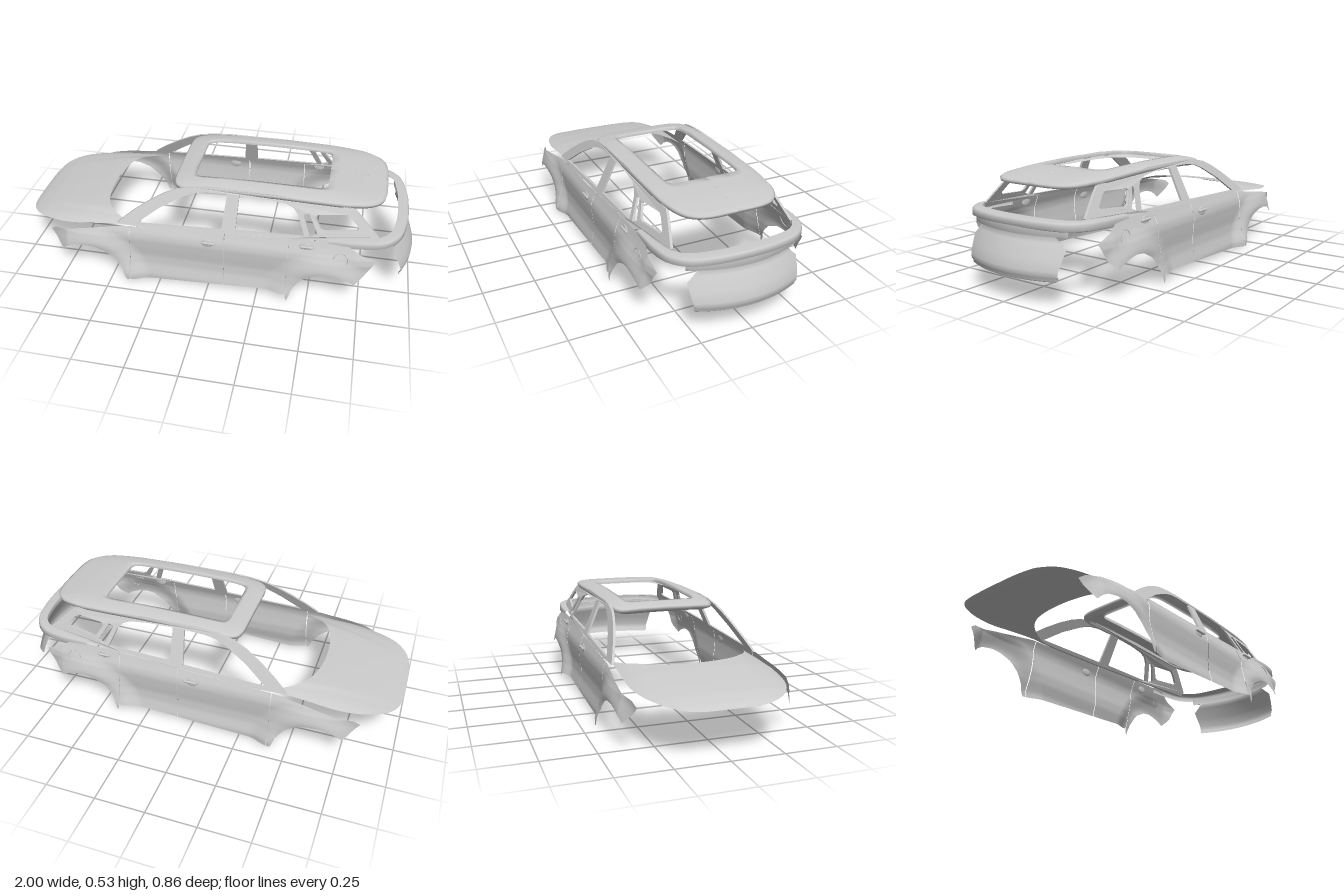
import * as THREE from 'three';

const mat = new THREE.MeshStandardMaterial({ color: 0xcccccc, side: THREE.DoubleSide });

// Linear interpolation through [x, value] pairs
function lerpTable(t, x) {
  if (x <= t[0][0]) return t[0][1];
  for (let i = 1; i < t.length; i++) {
    if (x <= t[i][0]) {
      const [a, b] = [t[i - 1], t[i]];
      return a[1] + (b[1] - a[1]) * (x - a[0]) / (b[0] - a[0]);
    }
  }
  return t[t.length - 1][1];
}

// Smooth surface sampled from fn(u, v) -> [x, y, z]
function patch(name, nu, nv, fn) {
  const pos = [], idx = [];
  for (let i = 0; i <= nu; i++)
    for (let j = 0; j <= nv; j++) pos.push(...fn(i / nu, j / nv));
  for (let i = 0; i < nu; i++)
    for (let j = 0; j < nv; j++) {
      const a = i * (nv + 1) + j, b = a + nv + 1;
      idx.push(a, a + 1, b, b, a + 1, b + 1);
    }
  const g = new THREE.BufferGeometry();
  g.setAttribute('position', new THREE.Float32BufferAttribute(pos, 3));
  g.setIndex(idx);
  g.computeVertexNormals();
  const m = new THREE.Mesh(g, mat);
  m.name = name;
  return m;
}

// Lower and upper edges of the body side, and its cross-section
const bottomEdge = [[-0.83, 0.22], [-0.76, 0.135], [-0.74, 0.158], [-0.71, 0.177], [-0.65, 0.19], [-0.59, 0.186],
  [-0.53, 0.165], [-0.48, 0.125], [-0.44, 0.07], [-0.42, 0.01], [0.393, 0.05], [0.4, 0], [0.425, 0.08], [0.45, 0.12],
  [0.48, 0.152], [0.55, 0.188], [0.6, 0.194], [0.64, 0.188], [0.69, 0.17], [0.72, 0.15], [0.76, 0.19], [0.81, 0.275]];
const topEdge = [[-0.83, 0.222], [-0.8, 0.245], [-0.65, 0.275], [-0.42, 0.31], [0, 0.325], [0.4, 0.345], [0.66, 0.352],
  [0.69, 0.335], [0.74, 0.305], [0.81, 0.277]];
const section = [[0, 0.397], [0.04, 0.399], [0.1, 0.384], [0.15, 0.381], [0.2, 0.386], [0.25, 0.389], [0.28, 0.384],
  [0.32, 0.367], [0.36, 0.352]];

function sideZ(x, y) {
  let z = lerpTable(section, y);
  for (const cx of [-0.6, 0.57]) {
    const d = Math.hypot(x - cx, y);
    z += 0.03 * (1 - THREE.MathUtils.smoothstep(d, 0.19, 0.3));
  }
  return z - 0.35 * Math.max(0, -0.73 - x) - 0.2 * Math.max(0, x - 0.72);
}

function sidePanel(name, s, x0, x1) {
  return patch(name, Math.ceil((x1 - x0) * 130), 24, (u, v) => {
    const x = x0 + (x1 - x0) * u, b = lerpTable(bottomEdge, x);
    const y = b + (lerpTable(topEdge, x) - b) * v;
    return [x, y, s * sideZ(x, y)];
  });
}

// Pillars and window frames, leaning inwards
const pts = a => a.map(p => new THREE.Vector2(...p));
function windowFrame(s) {
  const shape = new THREE.Shape(pts([[-0.47, 0.312], [-0.45, 0.332], [-0.39, 0.38], [-0.31, 0.435], [-0.24, 0.475],
    [-0.18, 0.5], [-0.1, 0.517], [0, 0.525], [0.3, 0.525], [0.55, 0.515], [0.68, 0.495], [0.71, 0.47], [0.81, 0.375],
    [0.8, 0.35], [0.4, 0.34], [0, 0.32], [-0.3, 0.31]]));
  const holes = [
    [[-0.37, 0.323], [0.06, 0.34], [0.075, 0.505], [-0.03, 0.502], [-0.09, 0.492], [-0.15, 0.468], [-0.26, 0.405]],
    [[0.13, 0.345], [0.135, 0.505], [0.27, 0.502], [0.36, 0.493], [0.4, 0.478], [0.425, 0.45], [0.465, 0.355]],
    [[0.45, 0.455], [0.475, 0.462], [0.525, 0.372], [0.49, 0.358]],
    [[0.505, 0.45], [0.52, 0.46], [0.65, 0.467], [0.67, 0.455], [0.715, 0.41], [0.705, 0.398], [0.56, 0.387], [0.54, 0.395]],
  ];
  for (const h of holes) shape.holes.push(new THREE.Path(pts(h)));
  const g = new THREE.ExtrudeGeometry(shape, { depth: 0.012, bevelEnabled: false });
  const p = g.attributes.position;
  for (let i = 0; i < p.count; i++) {
    const x = p.getX(i), y = p.getY(i);
    const z = 0.35 - (y - 0.34) * 0.44 - 0.1 * Math.max(0, x - 0.5) - p.getZ(i);
    p.setZ(i, s * z);
  }
  g.computeVertexNormals();
  const m = new THREE.Mesh(g, mat);
  m.name = 'windowFrame';
  return m;
}

// Bonnet with a rounded nose and a curved rear edge below the windscreen
const hoodLine = [[-1, 0.236], [-0.97, 0.252], [-0.9, 0.272], [-0.8, 0.29], [-0.65, 0.311], [-0.5, 0.323], [-0.35, 0.33]];
function hood() {
  return patch('hood', 64, 28, (u, v) => {
    const s = Math.sin((u - 0.5) * Math.PI), q = Math.abs(s);
    const front = -0.65 - 0.35 * Math.max(0, 1 - q ** 4) ** 0.47;
    const rear = -0.59 + 0.08 * q ** 2 + 0.13 * q ** 6;
    const x = front + (rear - front) * v;
    const z = s * (0.352 - 0.012 * v);
    const bulge = 0.006 * (1 - THREE.MathUtils.smoothstep(Math.abs(z), 0.17 + 0.08 * v, 0.22 + 0.08 * v)) * v;
    return [x, lerpTable(hoodLine, x) - 0.022 * q ** 8 - 0.005 * q * q + bulge, z];
  });
}

// Roof: rings from the sunroof lip to the outer edge, then under the rim
const roofLine = [[-0.21, 0.512], [-0.15, 0.524], [-0.05, 0.536], [0.1, 0.543], [0.35, 0.543], [0.55, 0.537], [0.7, 0.526], [0.84, 0.505]];
function loopPoint(t, cx, a, b, n) {
  const c = Math.cos(t), s = Math.sin(t);
  return [cx + a * Math.sign(c) * Math.abs(c) ** (2 / n), b * Math.sign(s) * Math.abs(s) ** (2 / n)];
}
function roof() {
  const rings = [[0, -0.018], [0, 0], [0.15, 0], [0.3, 0], [0.45, 0], [0.6, 0], [0.75, 0], [0.87, 0], [0.95, 0], [1, -0.004],
    [0.99, -0.018], [0.72, -0.036]];
  return patch('roof', 160, rings.length - 1, (u, v) => {
    const t = u * Math.PI * 2, [k, dy] = rings[Math.round(v * (rings.length - 1))];
    const i = loopPoint(t, 0.22, 0.33, 0.185, 12);
    const o = loopPoint(t, 0.315, 0.52, 0.272, Math.cos(t) > 0 ? 4.5 : 9);
    const x = i[0] + (o[0] - i[0]) * k, z = i[1] + (o[1] - i[1]) * k;
    return [x, lerpTable(roofLine, x) - 0.018 * (Math.abs(z) / 0.272) ** 6 - 0.003 * (z / 0.272) ** 2 + dy, z];
  });
}

// Belt band wrapping around the tail
function rearBand() {
  const half = [[0.58, 0.358], [0.74, 0.357], [0.84, 0.335], [0.91, 0.27], [0.945, 0.15]];
  const path = new THREE.CatmullRomCurve3([...half, [0.955, 0], ...half.map(([x, z]) => [x, -z]).reverse()]
    .map(([x, z]) => new THREE.Vector3(x, 0, z)));
  const prof = [[0.012, -0.042], [0, -0.036], [0, -0.014], [0.004, -0.005], [0.012, -0.001], [0.055, 0]];
  return patch('rearBand', 90, prof.length - 1, (u, v) => {
    const p = path.getPointAt(u), t = path.getTangentAt(u);
    const [d, h] = prof[Math.round(v * (prof.length - 1))];
    const w = d * (0.45 + 0.55 * Math.sin(u * Math.PI));
    const y = 0.375 - 0.014 * Math.abs(2 * u - 1) ** 3;
    return [p.x + t.z * w, y + h, p.z - t.x * w];
  });
}

// Tailgate rows: centre x, y, half width (narrow where the lamps sit)
function tailgate() {
  const rows = [[0.953, 0.342, 0.275], [0.955, 0.307, 0.272], [0.942, 0.304, 0.222], [0.955, 0.28, 0.245], [0.967, 0.255, 0.272],
    [0.985, 0.215, 0.267], [0.99, 0.2, 0.265], [1, 0.17, 0.26], [1, 0.147, 0.257], [0.992, 0.142, 0.256], [0.992, 0.128, 0.252], [0.985, 0.122, 0.242]];
  return patch('tailgate', 32, rows.length - 1, (u, v) => {
    const [x, y, w] = rows[Math.round(v * (rows.length - 1))], s = u * 2 - 1;
    return [x - 0.9 * (s * w) ** 2, y, s * w];
  });
}

function doorHandle(s, x, y) {
  const g = new THREE.Group();
  g.name = 'doorHandle';
  const cup = new THREE.Mesh(new THREE.SphereGeometry(1, 20, 12), mat);
  cup.scale.set(0.03, 0.024, 0.006);
  const bar = new THREE.Mesh(new THREE.CapsuleGeometry(0.007, 0.055, 4, 10), mat);
  bar.rotation.z = Math.PI / 2;
  bar.position.set(0.006, 0.006, s * 0.008);
  g.add(cup, bar);
  g.position.set(x, y, s * sideZ(x, y));
  return g;
}

export function createModel() {
  const car = new THREE.Group();
  car.name = 'carBody';
  car.add(hood(), roof(), rearBand(), tailgate());
  for (const s of [1, -1]) {
    car.add(sidePanel('frontFender', s, -0.83, -0.402), sidePanel('frontDoor', s, -0.398, 0.078),
      sidePanel('rearDoor', s, 0.082, 0.393), sidePanel('rearQuarter', s, 0.396, 0.81),
      windowFrame(s), doorHandle(s, 0, 0.276), doorHandle(s, 0.475, 0.315));
    // Fuel flap outline
    const flap = new THREE.Mesh(new THREE.TorusGeometry(0.034, 0.002, 6, 32), mat);
    flap.name = 'fuelFlap';
    flap.position.set(0.645, 0.275, s * sideZ(0.645, 0.275));
    flap.rotation.x = -s * 0.2;
    car.add(flap);
  }
  return car;
}
